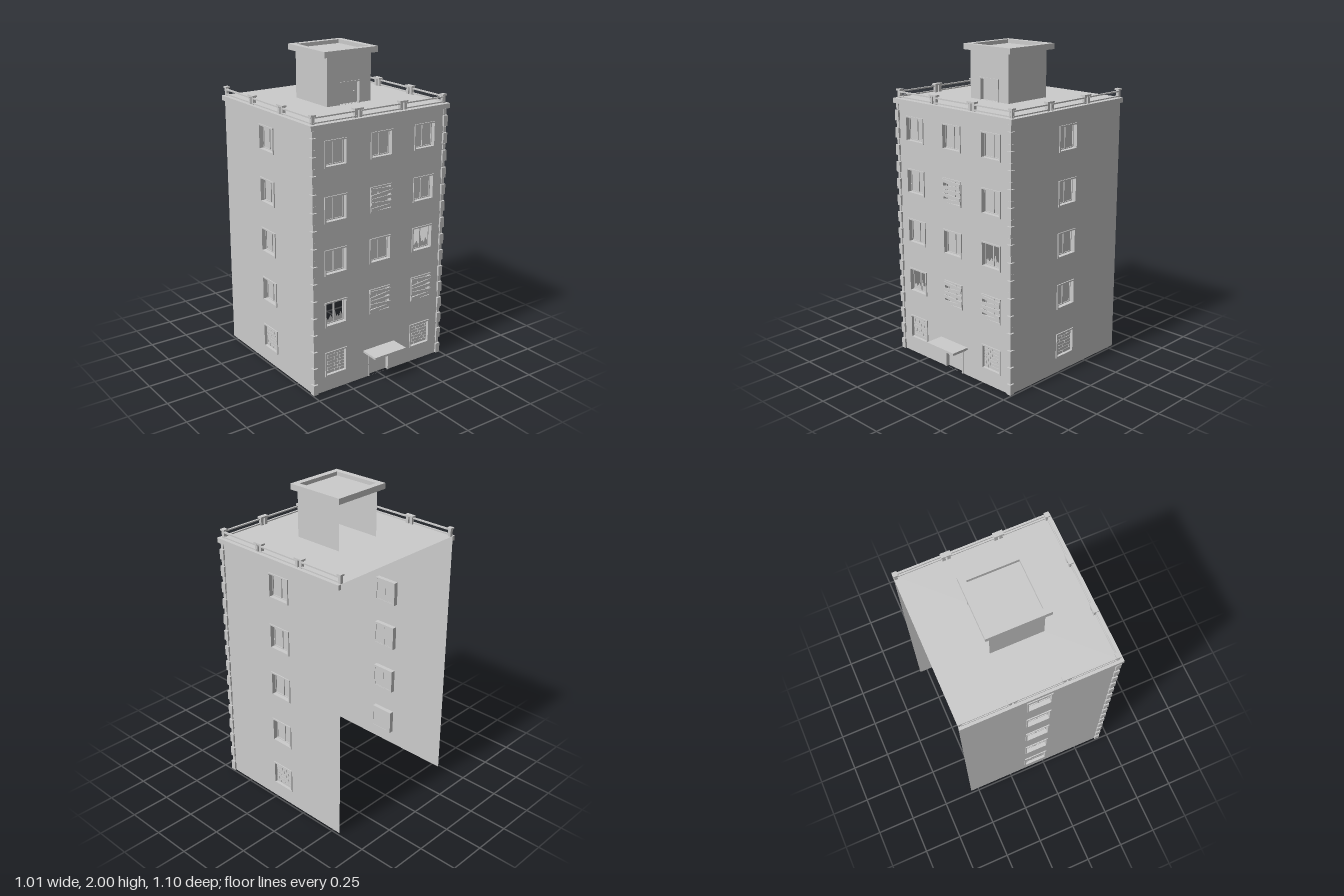
import * as THREE from 'three';

const mat = new THREE.MeshStandardMaterial({ color: 0xcccccc, flatShading: true, side: THREE.DoubleSide });
const ROWS = [0.178, 0.504, 0.834, 1.158, 1.488];
const TOP = 1.668, HALF = 0.485, FRONT = 0.425, BACK = -0.552;
const WIN = 0.16, OPEN = 0.142;

function add(parent, name, geo, x = 0, y = 0, z = 0) {
  const m = new THREE.Mesh(geo, mat);
  m.name = name;
  m.position.set(x, y, z);
  parent.add(m);
  return m;
}
// box given by its minimum and maximum corners
function span(parent, name, x0, x1, y0, y1, z0, z1) {
  return add(parent, name, new THREE.BoxGeometry(x1 - x0, y1 - y0, z1 - z0), (x0 + x1) / 2, (y0 + y1) / 2, (z0 + z1) / 2);
}
function rectPoints(x0, x1, y0, y1) {
  return [[x0, y0], [x1, y0], [x1, y1], [x0, y1]].map(p => new THREE.Vector2(...p));
}
function rectShape(x0, x1, y0, y1, holes = []) {
  const s = new THREE.Shape(rectPoints(x0, x1, y0, y1));
  holes.forEach(h => s.holes.push(new THREE.Path(rectPoints(...h).reverse())));
  return s;
}
const extrude = (shape, depth) => new THREE.ExtrudeGeometry(shape, { depth, bevelEnabled: false });

// window kinds: plain, broken, boarded, bricked
function makeWindow(parent, x, y, kind) {
  const g = new THREE.Group();
  g.name = kind + 'Window';
  g.position.set(x, y, 0);
  parent.add(g);
  const h = WIN / 2, o = OPEN / 2;
  add(g, 'windowFrame', extrude(rectShape(-h, h, -h, h, [[-o, o, -o, o]]), 0.037), 0, 0, -0.03);
  if (kind === 'bricked') {
    add(g, 'mortar', new THREE.BoxGeometry(OPEN, OPEN, 0.014), 0, 0, -0.021);
    const course = OPEN / 7, len = OPEN / 4;
    for (let r = 0; r < 7; r++) {
      for (let c = 0; c < 5; c++) {
        const a = Math.max(-o, -o + (c - (r % 2) / 2) * len), b = Math.min(o, -o + (c + 1 - (r % 2) / 2) * len);
        if (b - a > 0.005) span(g, 'brick', a + 0.001, b - 0.001, -o + r * course + 0.001, -o + (r + 1) * course - 0.001, -0.015, -0.011);
      }
    }
    return;
  }
  // sash: outer rim with a centre mullion
  add(g, 'sash', extrude(rectShape(-o, o, -o, o, [[-o + 0.005, -0.004, -o + 0.005, o - 0.007], [0.004, o - 0.005, -o + 0.005, o - 0.007]]), 0.008), 0, 0, -0.028);
  if (kind === 'broken') {
    const edge = [0.34, 0.2, 0.29, 0.16, 0.25, 0.36, 0.2, 0.24, 0.55, 0.23, 0.3, 0.18, 0.42, 0.27, 0.33];
    const pts = edge.map((e, i) => new THREE.Vector2(-o + OPEN * i / (edge.length - 1), -o + e * OPEN));
    pts.push(new THREE.Vector2(o, -o), new THREE.Vector2(-o, -o));
    add(g, 'brokenGlass', new THREE.ShapeGeometry(new THREE.Shape(pts)), 0, 0, -0.025);
  } else {
    add(g, 'glass', new THREE.PlaneGeometry(OPEN, OPEN), 0, 0, -0.026);
  }
  if (kind === 'boarded') {
    const tilts = [0.05, -0.07, 0.03, 0.1, -0.06];
    tilts.forEach((t, i) => {
      const p = add(g, 'board', new THREE.BoxGeometry(0.156, 0.02, 0.006), 0, -0.057 + i * 0.0285, 0.008 + (i % 2) * 0.003);
      p.rotation.z = t;
    });
  }
}

// wall with window openings, built in its own xy plane and facing +z
function makeWall(parent, name, x0, x1, windows, door) {
  const g = new THREE.Group();
  g.name = name;
  parent.add(g);
  const o = OPEN / 2;
  const shape = rectShape(x0, x1, 0, 1.66, windows.map(([x, y]) => [x - o, x + o, y - o, y + o]));
  if (door) shape.holes.push(new THREE.Path(rectPoints(-0.075, 0.075, 0.001, 0.172).reverse()));
  add(g, name + 'Panel', new THREE.ShapeGeometry(shape));
  windows.forEach(([x, y, kind]) => makeWindow(g, x, y, kind));
  return g;
}

// recessed door with a three-sided frame
function makeDoor(parent, name, y, z, height) {
  const g = new THREE.Group();
  g.name = name;
  g.position.set(0, y, z);
  parent.add(g);
  for (const s of [-1, 1]) add(g, 'doorJamb', new THREE.BoxGeometry(0.008, height, 0.034), s * 0.076, height / 2, -0.012);
  add(g, 'doorLintel', new THREE.BoxGeometry(0.16, 0.008, 0.034), 0, height - 0.004, -0.012);
  span(g, 'doorLeaf', -0.073, 0.073, 0, height - 0.008, -0.026, -0.02);
  span(g, 'doorHandle', 0.045, 0.06, height * 0.5, height * 0.5 + 0.005, -0.02, -0.012);
}

// balustrade stretch between two posts, running along local x
function makeRailing(parent, x, z, length, angle) {
  const g = new THREE.Group();
  g.name = 'railing';
  g.position.set(x, TOP, z);
  g.rotation.y = angle;
  parent.add(g);
  for (const s of [-1, 1]) {
    add(g, 'post', new THREE.BoxGeometry(0.02, 0.044, 0.02), s * length / 2, 0.022, 0);
    add(g, 'postCap', new THREE.BoxGeometry(0.031, 0.01, 0.031), s * length / 2, 0.05, 0);
  }
  add(g, 'topRail', new THREE.BoxGeometry(length, 0.008, 0.013), 0, 0.038, 0.006);
  add(g, 'bottomRail', new THREE.BoxGeometry(length, 0.007, 0.013), 0, 0.008, 0.006);
}

export function createModel() {
  const root = new THREE.Group();
  root.name = 'apartmentBlock';

  // front and side walls, the back stays open
  const special = { '-1,1': 'broken', '0,1': 'boarded', '1,1': 'boarded', '1,2': 'broken', '0,3': 'boarded' };
  const frontWindows = [];
  ROWS.forEach((y, r) => {
    for (const c of [-1, 0, 1]) {
      if (r === 0 && c === 0) continue;
      frontWindows.push([c * 0.327, y, r === 0 ? 'bricked' : special[c + ',' + r] || 'plain']);
    }
  });
  makeWall(root, 'frontWall', -HALF, HALF, frontWindows, true).position.z = FRONT;
  for (const s of [-1, 1]) {
    const [a, b] = s > 0 ? [-FRONT, -BACK] : [BACK, FRONT];
    const wall = makeWall(root, s > 0 ? 'leftWall' : 'rightWall', a, b, ROWS.map((y, r) => [s * 0.061, y, r ? 'plain' : 'bricked']));
    wall.rotation.y = s * Math.PI / 2;
    wall.position.x = s * HALF;
  }

  // corner stones, alternating tall and short
  for (const s of [-1, 1]) {
    for (let i = 0; i < 15; i++) {
      const y = i * 0.109;
      const stone = (name, inner, outer, y0, y1, z0, z1) =>
        span(root, name, Math.min(s * inner, s * outer), Math.max(s * inner, s * outer), y0, y1, z0, z1);
      stone('tallCornerStone', 0.465, 0.496, y + 0.002, y + 0.068, 0.405, 0.438);
      stone('shortCornerStone', 0.47, 0.49, y + 0.072, y + 0.107, 0.41, 0.431);
    }
  }

  // entrance and canopy
  makeDoor(root, 'entranceDoor', 0, FRONT, 0.172);
  span(root, 'canopyBase', -0.11, 0.11, 0.166, 0.175, FRONT, 0.535);
  span(root, 'canopySlab', -0.12, 0.12, 0.175, 0.188, FRONT, 0.547);

  // roof deck and cornice
  const deck = add(root, 'roofDeck', new THREE.PlaneGeometry(1.01, 0.442 - BACK), 0, TOP, (0.442 + BACK) / 2);
  deck.rotation.x = -Math.PI / 2;
  span(root, 'frontCornice', -0.505, 0.505, 1.637, TOP - 0.001, FRONT, 0.442);
  for (const s of [-1, 1]) add(root, 'sideCornice', new THREE.BoxGeometry(0.02, 0.03, FRONT - BACK), s * 0.495, 1.652, (FRONT + BACK) / 2);

  // three railing stretches on each closed side
  for (const i of [-1, 0, 1]) {
    makeRailing(root, i * 0.327, 0.41, 0.296, 0);
    for (const s of [-1, 1]) makeRailing(root, s * 0.476, -0.064 + i * 0.327, 0.296, s * Math.PI / 2);
  }

  // rooftop stair hut, open at the back
  const hut = new THREE.Group();
  hut.name = 'stairHut';
  hut.position.set(-0.002, TOP, -0.064);
  root.add(hut);
  const w = 0.161, zf = 0.17, zb = -0.163, h = 0.296;
  add(hut, 'hutFront', new THREE.ShapeGeometry(rectShape(-w, w, 0, h, [[-0.074, 0.074, 0.001, 0.132]])), 0, 0, zf);
  for (const s of [-1, 1]) {
    add(hut, 'hutSide', new THREE.PlaneGeometry(zf - zb, h), s * w, h / 2, (zf + zb) / 2).rotation.y = s * Math.PI / 2;
  }
  makeDoor(hut, 'hutDoor', 0, zf, 0.138);
  const rim = add(hut, 'hutRoofRim', extrude(rectShape(-0.195, 0.195, -0.195, 0.195, [[-0.156, 0.156, -0.156, 0.156]]), 0.036), 0, h, 0);
  rim.rotation.x = -Math.PI / 2;
  span(hut, 'hutRoof', -0.157, 0.157, h, h + 0.012, -0.157, 0.157);
  return root;
}
